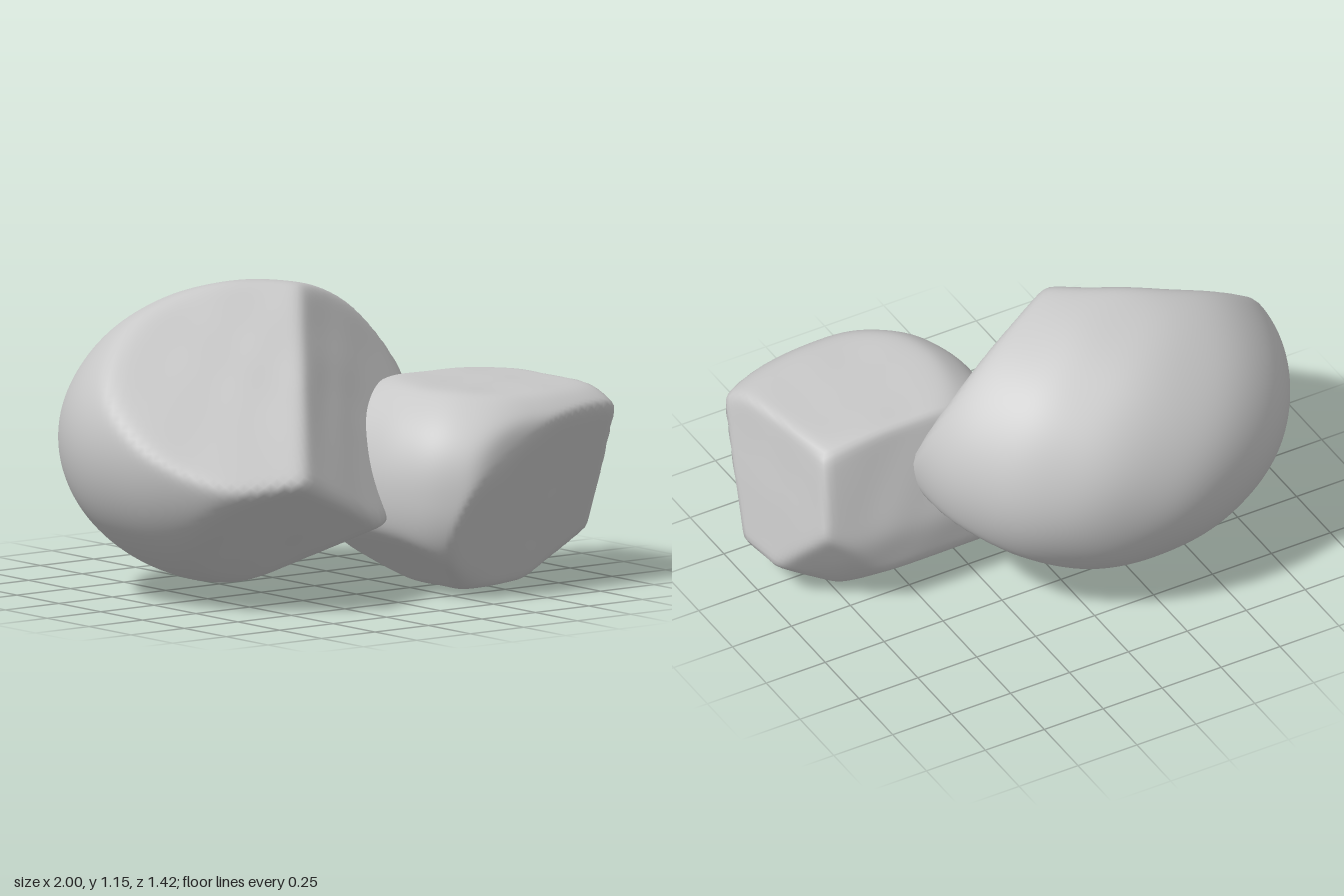
import * as THREE from 'three';
import { mergeVertices } from 'three/addons/utils/BufferGeometryUtils.js';

// Ellipsoid with separate radii on each side, trimmed by softened planes.
// lo / hi: radii towards the negative / positive axes; cuts: [nx, ny, nz, distance from origin]
function makeRock({ center, lo, hi, power, cuts, softness, bump, seed }) {
  let geo = new THREE.IcosahedronGeometry(1, 30);
  geo.deleteAttribute('uv');
  geo.deleteAttribute('normal');
  geo = mergeVertices(geo, 1e-5);

  const c = new THREE.Vector3(...center);
  const planes = cuts.map(([x, y, z, d]) => {
    const n = new THREE.Vector3(x, y, z);
    const len = n.length();
    n.divideScalar(len);
    return { n, d: d / len - n.dot(c) };
  });

  const pos = geo.attributes.position;
  const dir = new THREE.Vector3();
  for (let i = 0; i < pos.count; i++) {
    dir.fromBufferAttribute(pos, i).normalize();
    let q = 0;
    dir.toArray().forEach((v, k) => {
      q += Math.pow(Math.abs(v) / (v < 0 ? lo[k] : hi[k]), power);
    });
    // Soft minimum of the ellipsoid and plane distances rounds the worn edges
    let sum = Math.pow(q, softness / power);
    for (const { n, d } of planes) {
      const f = n.dot(dir);
      if (f > 0) sum += Math.pow(f / d, softness);
    }
    let r = Math.pow(sum, -1 / softness);
    // Gentle weathering
    r *= 1 + bump * (Math.sin(dir.x * 9 + seed) * Math.sin(dir.y * 8 + seed * 2)
      + 0.6 * Math.sin(dir.z * 13 + dir.x * 7 + seed * 3));
    dir.multiplyScalar(r).add(c);
    pos.setXYZ(i, dir.x, dir.y, dir.z);
  }
  geo.computeVertexNormals();
  return geo;
}

export function createModel() {
  const group = new THREE.Group();
  group.name = 'boulders';
  const stone = new THREE.MeshStandardMaterial({ color: 0xc8c8c8 });
  stone.name = 'grey stone';

  const rocks = {
    largeBoulder: {
      center: [-0.25, 0.58, -0.05],
      lo: [0.75, 0.56, 0.66], hi: [0.76, 0.565, 0.78],
      power: 2, softness: 36, bump: 0.003, seed: 1.3,
      cuts: [
        [-0.34, 0.75, 0.565, 0.905],  // upper left front face
        [0.45, 0.42, 0.79, 0.465],    // right front face
        [-0.13, -0.75, 0.62, 0.085],  // undercut front
        [0.42, -0.9, 0.12, -0.2],     // underside towards the small boulder
        [0, -1, 0, -0.035],           // worn bottom
      ],
    },
    smallBoulder: {
      center: [0.5, 0.38, 0.3],
      lo: [0.505, 0.42, 0.6], hi: [0.75, 0.425, 0.5],
      power: 2.2, softness: 40, bump: 0.003, seed: 2.1,
      cuts: [
        [0.03, 1, 0.03, 0.77],        // flat top
        [0.975, 0.17, -0.14, 0.962],  // right face
        [0.27, -0.4, 0.88, 0.52],     // front face
        [0, 0.05, 1, 0.74],           // front brow
        [0, -0.75, 0.66, 0.3],        // lower front bevel
        [0.46, -0.89, 0, 0.32],       // lower right bevel
        [0.5, -0.5, -0.7, 0.305],     // lower back right bevel
        [0, -0.8, -0.6, -0.08],       // lower back bevel
        [0, 0.26, -0.965, 0.19],      // back face
        [0, -0.1, -1, 0.07],          // back lower face
        [-0.6, -0.8, 0, -0.195],      // lower left bevel
        [0, -1, 0, 0.005],            // resting face
      ],
    },
  };

  for (const [name, spec] of Object.entries(rocks)) {
    const mesh = new THREE.Mesh(makeRock(spec), stone);
    mesh.name = name;
    group.add(mesh);
  }
  return group;
}
